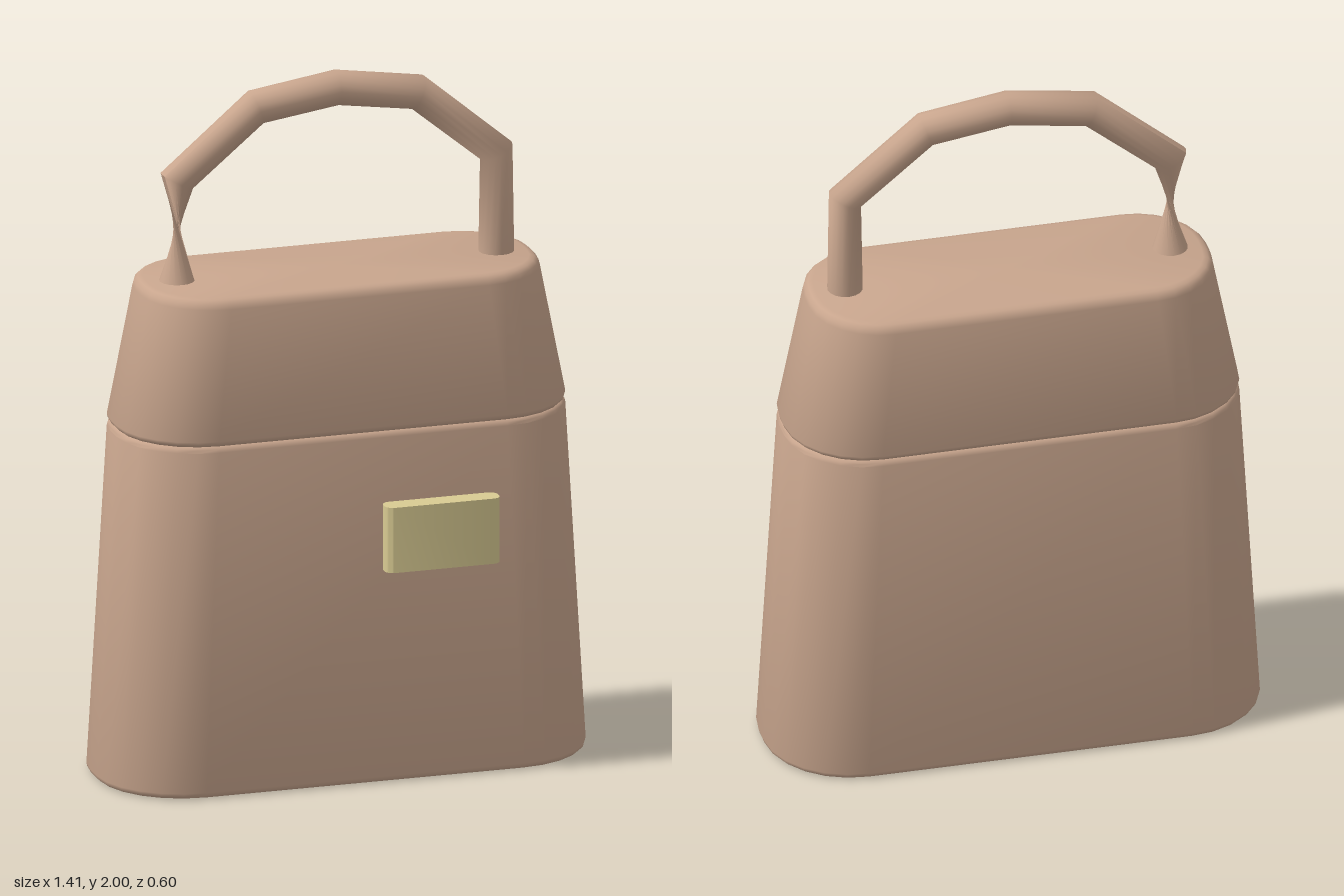
import * as THREE from 'three';
import { toCreasedNormals } from 'three/addons/utils/BufferGeometryUtils.js';

const CZ = -0.025; // depth centre of the bag

// Skin a stack of equal-length rings and cap both ends
function loft(rings, crease) {
  const n = rings[0].length;
  const pts = rings.flat();
  const index = [];
  for (let k = 0; k < rings.length - 1; k++) {
    for (let i = 0; i < n; i++) {
      const j = (i + 1) % n;
      const a = k * n + i, b = k * n + j, c = a + n, d = b + n;
      index.push(a, c, b, b, c, d);
    }
  }
  const centre = (r) => r.reduce((s, p) => s.add(p), new THREE.Vector3()).divideScalar(n);
  const lo = pts.length, hi = lo + 1, top = (rings.length - 1) * n;
  pts.push(centre(rings[0]), centre(rings[rings.length - 1]));
  for (let i = 0; i < n; i++) {
    const j = (i + 1) % n;
    index.push(lo, i, j, hi, top + j, top + i);
  }
  const geo = new THREE.BufferGeometry().setFromPoints(pts);
  geo.setIndex(index);
  return toCreasedNormals(geo, crease);
}

// Horizontal rounded rectangle, half width w and half depth d
function roundedRing(y, w, d, segments = 6) {
  const r = d * 0.89, ring = [];
  for (let q = 0; q < 4; q++) {
    const sx = q === 0 || q === 3 ? 1 : -1, sz = q < 2 ? 1 : -1;
    for (let s = 0; s <= segments; s++) {
      const a = (q + s / segments) * Math.PI / 2;
      ring.push(new THREE.Vector3(sx * (w - r) + r * Math.cos(a), y, CZ + sz * (d - r) + r * Math.sin(a)));
    }
  }
  return ring;
}

// Tapered rounded block with softened top and bottom rims
function taperedBlock(y0, w0, d0, y1, w1, d1, b0, b1) {
  const rings = [], steps = 3;
  for (let i = 0; i <= steps; i++) {
    const a = (i / steps) * Math.PI / 2, inset = b0 * (1 - Math.sin(a));
    rings.push(roundedRing(y0 + b0 * (1 - Math.cos(a)), w0 - inset, d0 - inset));
  }
  for (let i = 0; i <= steps; i++) {
    const a = (i / steps) * Math.PI / 2, inset = b1 * (1 - Math.cos(a));
    rings.push(roundedRing(y1 - b1 * (1 - Math.sin(a)), w1 - inset, d1 - inset));
  }
  return loft(rings, 0.7);
}

// Faceted carrying loop; its first ring is turned half round, pinching that leg
function handleGeometry() {
  const path = [[-0.465, 1.43], [-0.465, 1.722], [-0.235, 1.915], [0, 1.95], [0.235, 1.915], [0.465, 1.722], [0.465, 1.43]];
  const tangents = [[0, 1], [0.45, 0.9], [0.4, 0.92], [1, 0], [0.4, -0.92], [0.45, -0.9], [0, -1]];
  tangents[2] = [0.93, 0.36];
  tangents[4] = [0.93, -0.36];
  const sides = 16, radius = 0.05;
  const rings = path.map(([x, y], k) => {
    const t = new THREE.Vector2(...tangents[k]).normalize();
    const r = k === 0 ? -radius : radius;
    return Array.from({ length: sides }, (_, i) => {
      const a = (i / sides) * Math.PI * 2, c = r * Math.cos(a);
      return new THREE.Vector3(x + t.y * c, y - t.x * c, CZ + 0.005 + r * Math.sin(a));
    });
  });
  return loft(rings, 1.1);
}

// Small plate, rounded when seen from above
function claspGeometry(w, h, d, r) {
  const x = w / 2, z = d / 2, s = new THREE.Shape();
  s.moveTo(-x + r, -z).lineTo(x - r, -z);
  s.absarc(x - r, -z + r, r, -Math.PI / 2, 0);
  s.absarc(x - r, z - r, r, 0, Math.PI / 2);
  s.absarc(-x + r, z - r, r, Math.PI / 2, Math.PI);
  s.absarc(-x + r, -z + r, r, Math.PI, Math.PI * 1.5);
  const geo = new THREE.ExtrudeGeometry(s, { depth: h, bevelEnabled: false, curveSegments: 5 });
  geo.translate(0, 0, -h / 2).rotateX(-Math.PI / 2);
  return toCreasedNormals(geo, 0.6);
}

export function createModel() {
  const group = new THREE.Group();
  const leather = new THREE.MeshStandardMaterial({ color: 0xc8a58d });
  const brass = new THREE.MeshStandardMaterial({ color: 0xd8ca92 });
  const add = (name, geo, mat) => {
    const mesh = new THREE.Mesh(geo, mat);
    mesh.name = name;
    group.add(mesh);
    return mesh;
  };

  add('body', taperedBlock(0, 0.706, 0.274, 1.018, 0.648, 0.257, 0.018, 0.018), leather);
  add('lid', taperedBlock(1.014, 0.648, 0.257, 1.432, 0.576, 0.226, 0.018, 0.028), leather);
  add('handle', handleGeometry(), leather);
  add('clasp', claspGeometry(0.334, 0.19, 0.06, 0.024), brass).position.set(0.215, 0.718, 0.267);
  return group;
}
